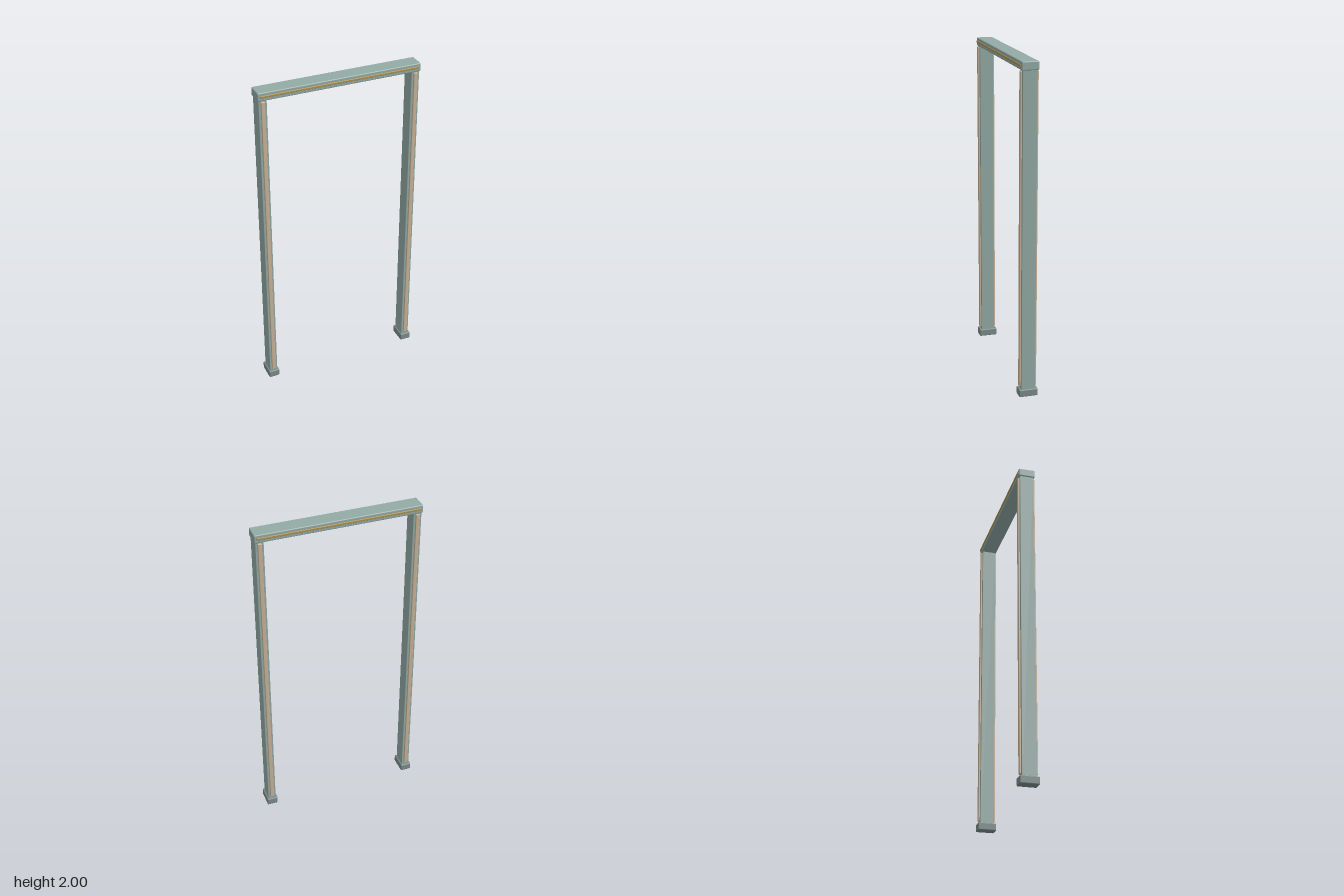
import * as THREE from 'three';
import { RoundedBoxGeometry } from 'three/addons/geometries/RoundedBoxGeometry.js';

const mat = (name, color) => Object.assign(new THREE.MeshStandardMaterial({ color }), { name });

export function createModel() {
  const paint = mat('sage paint', 0x93aaa5);
  const stone = mat('grey footing', 0x7c8b8a);
  const wood = mat('pale wood', 0xc8b297);
  const brass = mat('brass', 0xb0924f);

  const model = new THREE.Group();
  model.name = 'doorFrame';

  // Softly bevelled block centred on x and z, spanning y0 to y1
  const block = (name, material, w, d, y0, y1, bevel, x = 0, z = 0) => {
    const mesh = new THREE.Mesh(new RoundedBoxGeometry(w, y1 - y0, d, 2, bevel), material);
    mesh.name = name;
    mesh.position.set(x, (y0 + y1) / 2, z);
    model.add(mesh);
  };

  // Posts with footings and a wooden strip on the front and back
  for (const [side, s] of [['left', 1], ['right', -1]]) {
    const x = s * 0.469;
    block(side + 'Post', paint, 0.05, 0.086, 0.03, 1.96, 0.003, x);
    block(side + 'Footing', stone, 0.068, 0.114, 0, 0.046, 0.006, x);
    for (const [face, f] of [['Front', 1], ['Back', -1]])
      block(side + face + 'Strip', wood, 0.024, 0.016, 0.06, 1.945, 0.004, x, f * 0.045);
  }

  // Lintel with a brass line on each long face
  block('lintel', paint, 1.0, 0.1, 1.95, 2, 0.006);
  for (const [face, f] of [['front', 1], ['back', -1]])
    block(face + 'BrassLine', brass, 0.97, 0.01, 1.97, 1.983, 0.003, 0, f * 0.05);

  return model;
}
